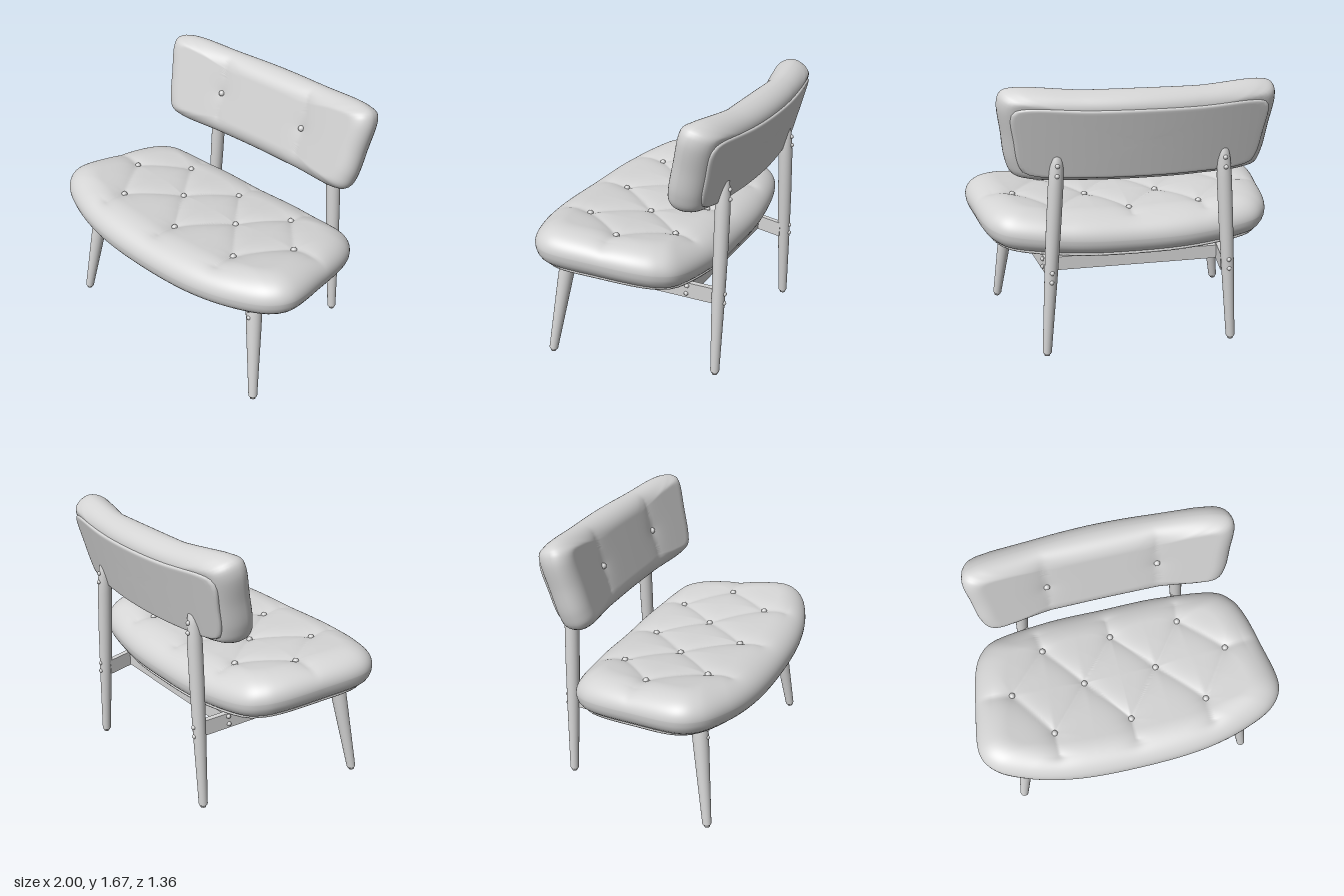
import * as THREE from 'three';
import { mergeVertices } from 'three/addons/utils/BufferGeometryUtils.js';

const V = (x, y, z) => new THREE.Vector3(x, y, z);

// Closed smooth outline from its right half, front middle to back middle
function outline(half, n, sx = 1, sz = 1, dz = 0) {
  const left = half.slice(1, -1).reverse().map(([x, z]) => [-x, z]);
  const pts = [...half, ...left].map(([x, z]) => V(x * sx, 0, z * sz + dz));
  return new THREE.CatmullRomCurve3(pts, true, 'centripetal').getSpacedPoints(n).slice(0, n);
}

// Closed pad: rings shrink from the outline to its centre, above and below.
// top and bottom give the height from x, z and the distance d to the rim.
function pad(rim, cz, upper, lower, top, bottom) {
  const n = rim.length, rows = upper + lower, pos = [], idx = [];
  const reach = rim.map((p, i) => {
    const a = rim[(i + n - 1) % n], b = rim[(i + 1) % n];
    const tx = b.x - a.x, tz = b.z - a.z;
    return Math.abs(p.x * tz - (p.z - cz) * tx) / Math.hypot(tx, tz);
  });
  for (let j = 0; j <= rows; j++) {
    const s = Math.sin((j <= upper ? j / upper : (rows - j) / lower) * Math.PI / 2);
    const f = j <= upper ? top : bottom;
    rim.forEach((p, i) => {
      const x = p.x * s, z = cz + (p.z - cz) * s;
      pos.push(x, f(x, z, (1 - s) * reach[i]), z);
    });
  }
  for (let j = 0; j < rows; j++) {
    for (let i = 0; i < n; i++) {
      const k = (i + 1) % n, a = j * n, b = a + n;
      if (j > 0) idx.push(a + i, b + k, a + k);
      if (j < rows - 1) idx.push(a + i, b + i, b + k);
    }
  }
  let g = new THREE.BufferGeometry();
  g.setAttribute('position', new THREE.Float32BufferAttribute(pos, 3));
  g.setIndex(idx);
  g = mergeVertices(g, 1e-5);
  g.computeVertexNormals();
  return g;
}

// Quarter-round edge, 0 at the rim and 1 from distance w inward
const round = (d, w) => Math.sqrt(Math.max(0, 1 - (1 - Math.min(d / w, 1)) ** 2));

function segmentDistance(x, z, [ax, az, bx, bz]) {
  const dx = bx - ax, dz = bz - az;
  const t = THREE.MathUtils.clamp(((x - ax) * dx + (z - az) * dz) / (dx * dx + dz * dz), 0, 1);
  return Math.hypot(x - ax - t * dx, z - az - t * dz);
}

// Tufting depth: sharp creases with deeper dimples at the buttons
function tuft(x, z, creases, buttons, depth) {
  const c = Math.min(...creases.map((s) => segmentDistance(x, z, s)));
  const b = Math.min(...buttons.map(([bx, bz]) => Math.hypot(x - bx, z - bz)));
  return depth * (Math.exp(-c / 0.055) + Math.exp(-b / 0.06));
}

export function createModel() {
  const model = new THREE.Group();
  model.name = 'loungeChair';
  const grey = new THREE.MeshStandardMaterial({ color: 0xd4d4d4 });
  grey.name = 'light grey';

  const add = (name, geometry, parent = model) => {
    const mesh = new THREE.Mesh(geometry, grey);
    mesh.name = name;
    parent.add(mesh);
    return mesh;
  };
  const stud = (name, p, r, parent = model) =>
    add(name, new THREE.SphereGeometry(r, 14, 10), parent).position.copy(p);

  // Seat: dished across its width and tilted slightly back
  const seatHalf = [[0, 0.685], [0.43, 0.665], [0.72, 0.6], [0.92, 0.505], [0.996, 0.39], [0.968, 0.06],
    [0.92, -0.2], [0.875, -0.3], [0.79, -0.38], [0.4, -0.455], [0, -0.464]];
  const seatButtons = [[0, -0.21], [0, 0.385]];
  const seatCreases = [[0, 0.385, 0, 0.53], [0, -0.21, 0, -0.33]];
  for (const s of [1, -1]) {
    seatButtons.push([s * 0.46, -0.21], [s * 0.715, 0.06], [s * 0.24, 0.075], [s * 0.5, 0.37]);
    const zig = (pts) => pts.forEach((p, i) => {
      if (i) seatCreases.push([s * pts[i - 1][0], pts[i - 1][1], s * p[0], p[1]]);
    });
    zig([[0.95, 0.04], [0.715, 0.06], [0.46, -0.21], [0.24, 0.075], [0, -0.21]]);
    zig([[0.715, 0.06], [0.5, 0.37], [0.24, 0.075], [0, 0.385]]);
    zig([[0.5, 0.37], [0.5, 0.52]]);
    zig([[0.46, -0.21], [0.48, -0.34]]);
  }
  const seatBase = (x, z) => 0.602 + 0.065 * z + 0.075 * x * x;
  const seatTop = (x, z, d) => seatBase(x, z) + 0.107 + 0.152 * round(d, 0.22)
    - tuft(x, z, seatCreases, seatButtons, 0.02) * Math.min(1, d / 0.12);
  const seat = new THREE.Group();
  seat.name = 'seat';
  model.add(seat);
  add('seatCushion', pad(outline(seatHalf, 300), 0.1, 100, 20, seatTop,
    (x, z, d) => seatBase(x, z) + 0.107 - 0.1 * round(d, 0.085)), seat);
  add('seatBoard', pad(outline(seatHalf, 90, 0.95, 0.91), 0.1, 12, 12,
    (x, z, d) => seatBase(x, z) + 0.008 + 0.01 * round(d, 0.01),
    (x, z, d) => seatBase(x, z) + 0.008 - 0.01 * round(d, 0.012)), seat);
  for (const [x, z] of seatButtons) stud('seatButton', V(x, seatTop(x, z, 1) + 0.006, z), 0.02, seat);

  // Backrest: modelled lying flat, then tilted upright
  const backHalf = [[0, 0.295], [0.36, 0.295], [0.68, 0.287], [0.765, 0.255], [0.8, 0.17], [0.822, 0],
    [0.842, -0.19], [0.82, -0.25], [0.74, -0.277], [0.36, -0.273], [0, -0.275]];
  const backButtons = [[0.35, 0.01], [-0.35, 0.01]];
  const backCreases = [0.35, -0.35].map((x) => [x, -0.2, x, 0.17]);
  const bend = (x) => 0.13 * x * x;
  const backFront = (x, z, d) => {
    const face = 0.12 + 0.15 * Math.max(0, Math.abs(x) - 0.35);
    return THREE.MathUtils.lerp(bend(x), face, round(d, 0.12))
      - tuft(x, z, backCreases, backButtons, 0.01) * Math.min(1, d / 0.1);
  };
  const back = new THREE.Group();
  back.name = 'backrest';
  back.position.set(0, 1.375, -0.505);
  back.rotation.x = THREE.MathUtils.degToRad(75);
  model.add(back);
  add('backCushion', pad(outline(backHalf, 220), 0, 50, 24, backFront,
    (x, z, d) => bend(x) - 0.115 * round(d, 0.09)), back);
  add('backPanel', pad(outline(backHalf, 100, 0.92, 0.77, 0.008), 0, 12, 12,
    (x, z, d) => bend(x) - 0.115 + 0.015 * round(d, 0.01),
    (x, z, d) => bend(x) - 0.115 - 0.013 * round(d, 0.012)), back);
  for (const [x, z] of backButtons) stud('backButton', V(x, backFront(x, z, 1) + 0.006, z), 0.02, back);

  // Turned leg between two points; the profile is [radius, height along the leg]
  const leg = (name, foot, top, profile) => {
    const g = new THREE.LatheGeometry(profile.map(([r, h]) => new THREE.Vector2(r, h)), 28);
    const mesh = add(name, g);
    mesh.position.copy(foot);
    mesh.quaternion.setFromUnitVectors(V(0, 1, 0), top.clone().sub(foot).normalize());
  };
  const beam = (name, a, b, width, height) => {
    const mesh = add(name, new THREE.BoxGeometry(width, height, a.distanceTo(b)));
    mesh.position.copy(a).lerp(b, 0.5);
    mesh.lookAt(b);
  };
  const glide = [[0, 0], [0.017, 0], [0.017, 0.014], [0.024, 0.014], [0.028, 0.022]];

  for (const s of [1, -1]) {
    // Splayed front legs and tall rear legs
    leg('frontLeg', V(s * 0.805, 0, 0.5), V(s * 0.71, 0.66, 0.405),
      [...glide, [0.047, 0.5], [0.05, 0.6], [0.05, 0.655], [0.046, 0.662], [0, 0.662]]);
    leg('backLeg', V(s * 0.593, 0, -0.545), V(s * 0.505, 1.28, -0.545),
      [...glide, [0.04, 0.5], [0.045, 0.8], [0.046, 1.08], [0.041, 1.2], [0.033, 1.26], [0.02, 1.28], [0, 1.284]]);
    beam('sideRail', V(s * 0.665, 0.593, 0.4), V(s * 0.535, 0.515, -0.53), 0.035, 0.1);

    // Bolt heads on rails and legs
    for (const [x, y, z] of [[0.668, 0.61, 0.28], [0.668, 0.56, 0.28], [0.58, 0.56, -0.345], [0.58, 0.508, -0.34],
      [0.714, 0.63, 0.457], [0.722, 0.58, 0.462], [0.558, 0.49, -0.583], [0.554, 0.55, -0.584],
      [0.514, 1.15, -0.588], [0.51, 1.21, -0.584]]) {
      stud('bolt', V(s * x, y, z), 0.014);
    }
  }

  // Cross bars between the side rails
  beam('frontCrossBar', V(-0.65, 0.577, 0.28), V(0.65, 0.577, 0.28), 0.04, 0.086);
  beam('backCrossBar', V(-0.56, 0.526, -0.34), V(0.56, 0.526, -0.34), 0.04, 0.086);
  return model;
}
